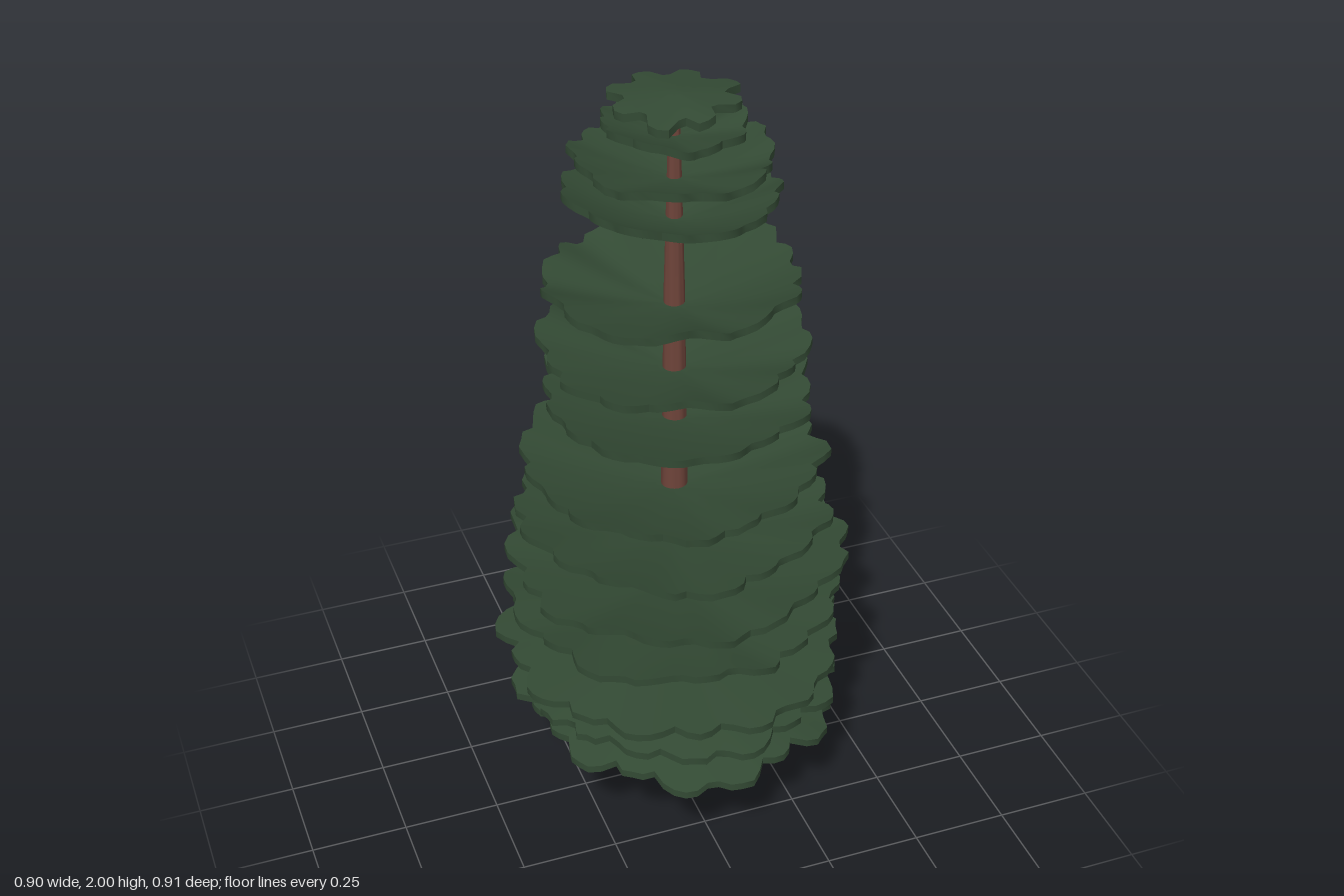
import * as THREE from 'three';
import { toCreasedNormals } from 'three/addons/utils/BufferGeometryUtils.js';

const bark = new THREE.MeshStandardMaterial({ color: 0x6e443a });
const needles = new THREE.MeshStandardMaterial({ color: 0x334a34 });

// Small seeded generator, returns -1..1
function seeded(seed) {
  let s = seed * 7919 + 13;
  return () => {
    s = (s * 16807) % 2147483647;
    return (s / 2147483647) * 2 - 1;
  };
}

// One whorl of branches: a thin dish from centre height to rim height, cut to a ragged lobed outline
function tierGeometry({ radius, centre, rim, lobes, notch, jitter, wave, bend, thick = 0.02 }, seed) {
  const rand = seeded(seed);
  for (let i = 0; i < 5; i++) rand();
  const perLobe = 5;
  const segs = lobes * perLobe;
  const turn = rand() * Math.PI;
  const lobeSize = [], lobeLift = [], ragged = [];
  for (let i = 0; i < lobes; i++) {
    lobeSize.push(1 - jitter + jitter * rand());
    lobeLift.push(wave * rand());
  }
  for (let j = 0; j < segs; j++) ragged.push(0.012 * rand());
  const fracs = [0, 0.12, 0.3, 0.5, 0.7, 0.87, 1];
  const rings = [...fracs.map(f => [f, thick]), ...fracs.slice().reverse().map(f => [f, 0])];
  const pos = [], index = [];
  for (const [f, lift] of rings) {
    for (let j = 0; j < segs; j++) {
      const lobe = Math.floor(j / perLobe);
      const u = (j % perLobe) / perLobe;
      const edge = Math.abs(2 * u + 1 / perLobe - 1);
      const outline = lobeSize[lobe] * (1 - notch * edge ** 3) + ragged[j];
      const reach = Math.min(f, outline * (0.3 + 0.7 * f));
      // the rim rises and falls smoothly from lobe to lobe
      const sway = THREE.MathUtils.lerp(lobeLift[lobe], lobeLift[(lobe + 1) % lobes], u * u * (3 - 2 * u));
      const a = turn + (j / segs) * Math.PI * 2;
      const y = centre + (rim - centre) * reach ** bend + sway * reach ** 2 + lift;
      pos.push(Math.cos(a) * radius * reach, y, Math.sin(a) * radius * reach);
    }
  }
  for (let i = 0; i < rings.length - 1; i++) {
    for (let j = 0; j < segs; j++) {
      const k = (j + 1) % segs;
      const a = i * segs + j, b = i * segs + k, c = a + segs, d = b + segs;
      if (i > 0) index.push(a, b, c);
      if (i < rings.length - 2) index.push(b, d, c);
    }
  }
  const g = new THREE.BufferGeometry();
  g.setAttribute('position', new THREE.Float32BufferAttribute(pos, 3));
  g.setIndex(index);
  return toCreasedNormals(g, 0.9);
}

// Tapered trunk whose foot spreads into root lobes
function trunkGeometry() {
  const profile = [[0, 0], [0.066, 0], [0.059, 0.05], [0.052, 0.11], [0.046, 0.2], [0.042, 0.35],
    [0.037, 0.7], [0.031, 1.1], [0.025, 1.5], [0.017, 1.8], [0.012, 1.97], [0, 1.975]];
  const g = new THREE.LatheGeometry(profile.map(p => new THREE.Vector2(...p)), 20);
  const p = g.attributes.position;
  for (let i = 0; i < p.count; i++) {
    const flare = Math.max(0, 1 - p.getY(i) / 0.24);
    const a = Math.atan2(p.getZ(i), p.getX(i));
    const k = 1 + flare * 0.15 * Math.cos(5 * a - 0.8);
    p.setX(i, p.getX(i) * k + 0.004 + flare * 0.012);
    p.setZ(i, p.getZ(i) * k + 0.004 + flare * 0.004);
  }
  return toCreasedNormals(g, 0.8);
}

export function createModel() {
  const tree = new THREE.Group();
  tree.name = 'coniferTree';

  const trunk = new THREE.Mesh(trunkGeometry(), bark);
  trunk.name = 'trunk';
  tree.add(trunk);

  // Bare twigs in the upper gap
  for (const [y, angle] of [[1.625, 0.2], [1.63, -1.5]]) {
    const twig = new THREE.Mesh(new THREE.CylinderGeometry(0.002, 0.005, 0.05, 6), bark);
    twig.name = 'twig';
    twig.rotation.set(0, angle, -Math.PI / 2);
    twig.position.set(Math.cos(angle) * 0.025, y, -Math.sin(angle) * 0.025);
    tree.add(twig);
  }

  // Tiers from the ground up: radius, underside height at centre and rim, sideways shift x and z
  const tiers = [
    [0.41, 0.355, 0.238, 0.02, 0.01], [0.45, 0.44, 0.355, 0.005, 0], [0.462, 0.495, 0.456, -0.003, 0],
    [0.44, 0.54, 0.615, 0, 0], [0.455, 0.643, 0.748, 0.01, 0], [0.422, 0.788, 0.888, 0, 0.012],
    [0.395, 0.91, 1.01, 0, 0], [0.36, 1.11, 1.218, 0.012, 0], [0.335, 1.25, 1.345, 0.003, 0],
    [0.325, 1.43, 1.53, 0, 0.01], [0.27, 1.66, 1.752, 0, 0.015], [0.253, 1.76, 1.832, 0.004, 0],
    [0.182, 1.868, 1.922, 0, 0.004],
  ];
  tiers.forEach(([radius, centre, rim, x, z], i) => {
    const rising = rim > centre;
    const mesh = new THREE.Mesh(tierGeometry({
      radius, centre, rim, lobes: Math.round(10 + radius * 18), notch: 0.1, jitter: 0.05,
      wave: rising ? 0.018 : 0.01, bend: rising ? 1.4 : 1.2,
    }, i + 3), needles);
    mesh.name = `branchTier${i + 1}`;
    mesh.position.set(x, 0, z);
    tree.add(mesh);
  });

  // Deeply notched crown
  const crown = new THREE.Mesh(tierGeometry({
    radius: 0.17, centre: 1.979, rim: 1.96, lobes: 8, notch: 0.5, jitter: 0.1, wave: 0.014, bend: 1.2,
  }, 31), needles);
  crown.name = 'crown';
  crown.position.z = 0.015;
  tree.add(crown);

  return tree;
}
